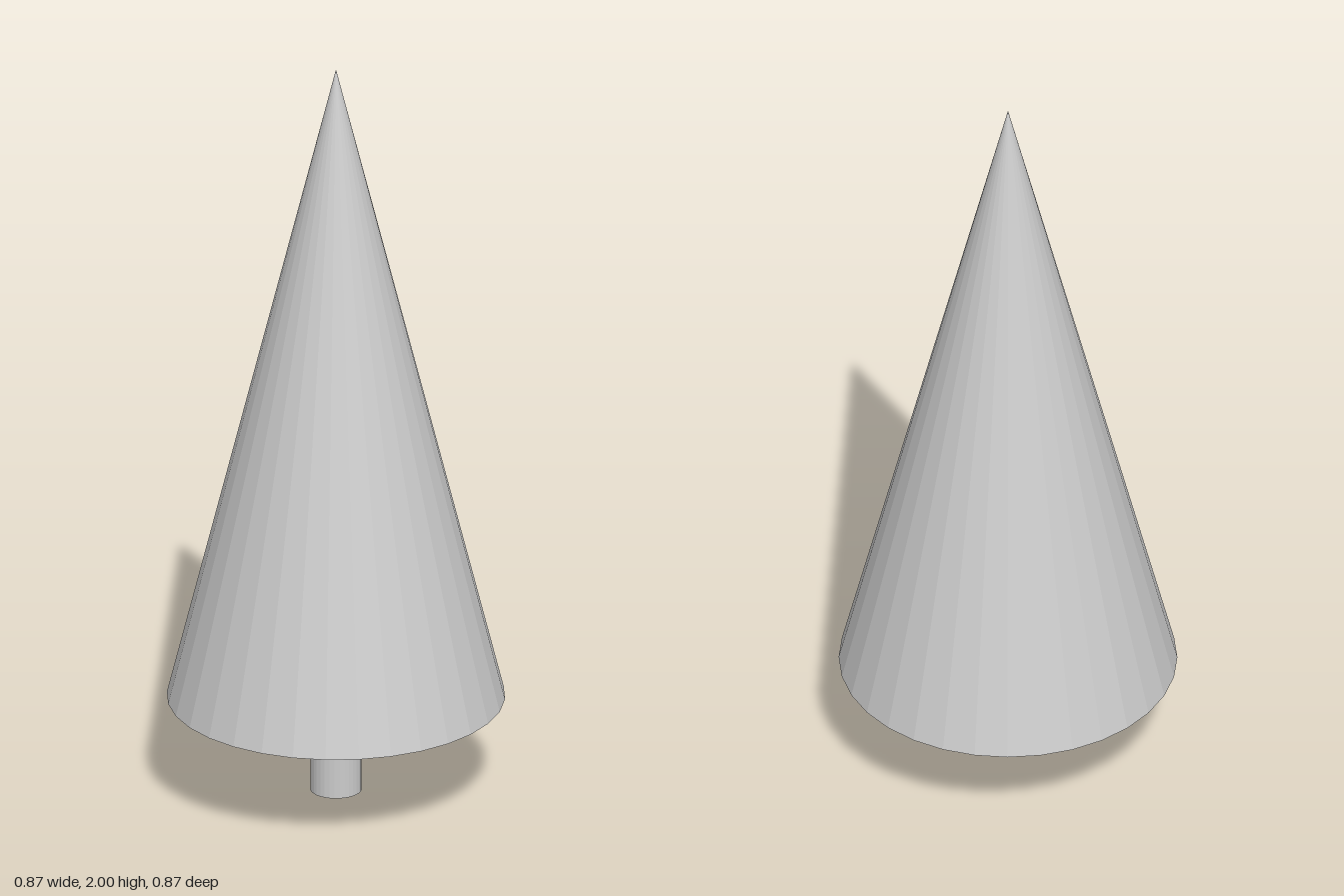
import * as THREE from 'three';

const SIDES = 32;
const BASE_Y = 0.26; // underside of the foliage

export function createModel() {
  const tree = new THREE.Group();
  tree.name = 'tree';
  const material = new THREE.MeshStandardMaterial({ color: 0xcccccc, flatShading: true });

  // Faceted cone of foliage, closed underneath
  const height = 2 - BASE_Y;
  const foliage = new THREE.Mesh(new THREE.ConeGeometry(0.435, height, SIDES), material);
  foliage.name = 'foliage';
  foliage.position.y = BASE_Y + height / 2;

  // Short round trunk from the ground to the foliage
  const trunk = new THREE.Mesh(new THREE.CylinderGeometry(0.066, 0.066, BASE_Y, SIDES), material);
  trunk.name = 'trunk';
  trunk.position.y = BASE_Y / 2;

  tree.add(foliage, trunk);
  return tree;
}
